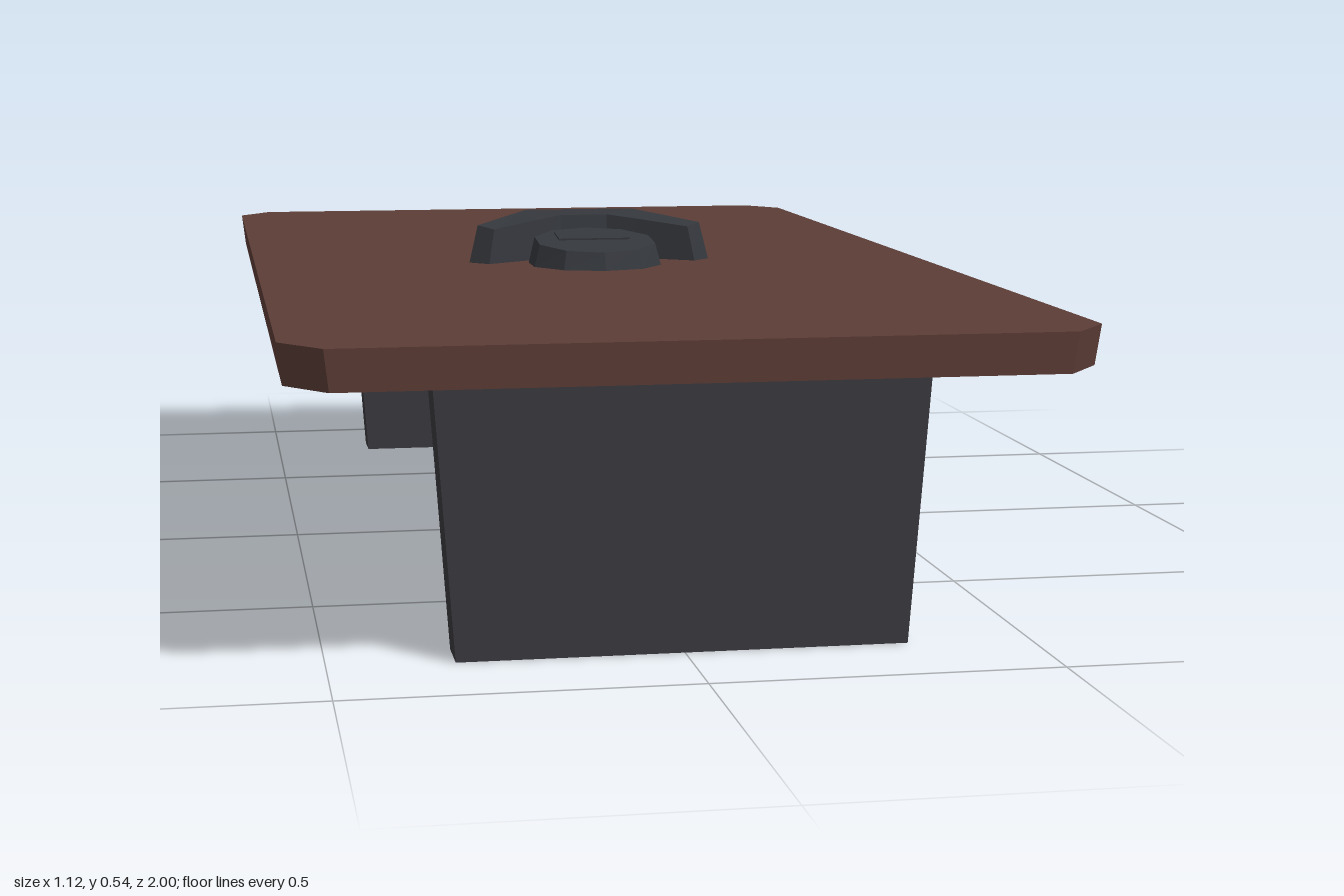
import * as THREE from 'three';

const wood = new THREE.MeshStandardMaterial({ color: 0x5d3d36 });
wood.name = 'darkWood';
const legGrey = new THREE.MeshStandardMaterial({ color: 0x39373d });
legGrey.name = 'legGrey';
const plastic = new THREE.MeshStandardMaterial({ color: 0x34373c });
plastic.name = 'charcoalPlastic';

// Mirrors a right-hand half outline [x, y, z] (back to front) into a closed loop
const mirrored = (half) => [
  ...half.map(([x, y, z]) => [-x, y, z]),
  ...half.slice().reverse(),
];

// Faceted solid between two mirrored outlines; caps lists the polygons closing each end
function solid(name, material, lowHalf, highHalf, caps) {
  const low = mirrored(lowHalf), high = mirrored(highHalf), n = low.length;
  const pos = [];
  const fan = (pts) => {
    for (let i = 1; i < pts.length - 1; i++) pos.push(...pts[0], ...pts[i], ...pts[i + 1]);
  };
  for (let i = 0; i < n; i++) {
    const j = (i + 1) % n;
    fan([low[i], low[j], high[j], high[i]]);
  }
  for (const cap of caps || [low.map((_, i) => i)]) {
    fan(cap.map((i) => high[i]));
    fan(cap.slice().reverse().map((i) => low[i]));
  }
  const geo = new THREE.BufferGeometry();
  geo.setAttribute('position', new THREE.Float32BufferAttribute(pos, 3));
  geo.computeVertexNormals();
  const mesh = new THREE.Mesh(geo, material);
  mesh.name = name;
  return mesh;
}

export function createModel() {
  const group = new THREE.Group();
  group.name = 'conferenceTable';

  // Table top with clipped corners, slightly narrower underneath
  const slab = (w, l, y) => [
    [w - 0.057, y, -l], [w, y, -l + 0.07], [w, y, l - 0.07], [w - 0.057, y, l],
  ];
  group.add(solid('tableTop', wood, slab(0.555, 0.995, 0.405), slab(0.562, 1, 0.463)));

  // Panel legs, widening upward
  for (const [name, z] of [['frontLeg', 0.807], ['backLeg', -0.807]]) {
    const panel = (w, y) => [[w, y, z - 0.036], [w, y, z + 0.036]];
    group.add(solid(name, legGrey, panel(0.322, 0), panel(0.352, 0.406)));
  }

  // Three-armed speakerphone body: tapered back arm and two short side arms
  const phone = new THREE.Group();
  phone.name = 'speakerphone';
  const base = [
    [0.045, -0.255], [0.105, -0.095], [0.205, 0.025],
    [0.175, 0.055], [0.09, 0], [0.04, -0.03],
  ].map(([x, z]) => [x, 0.463, z]);
  const crown = [
    [0.037, 0.485, -0.243], [0.093, 0.54, -0.095], [0.19, 0.525, 0.018],
    [0.165, 0.52, 0.043], [0.085, 0.53, -0.01], [0.04, 0.535, -0.04],
  ];
  phone.add(solid('phoneBody', plastic, base, crown, [
    [0, 1, 10, 11], [1, 5, 6, 10],
    [1, 2, 3, 4], [1, 4, 5], [10, 6, 7], [10, 7, 8, 9],
  ]));

  // Ten-sided dial base with its top sloping down to the front
  const tilt = 0.11;
  let dialGeo = new THREE.CylinderGeometry(0.102, 0.112, 0.04, 10);
  const p = dialGeo.attributes.position;
  for (let i = 0; i < p.count; i++) {
    if (p.getY(i) > 0) p.setY(i, p.getY(i) - p.getZ(i) * tilt);
  }
  dialGeo = dialGeo.toNonIndexed();
  dialGeo.computeVertexNormals();
  const dial = new THREE.Mesh(dialGeo, plastic);
  dial.name = 'phoneDial';
  dial.position.set(0, 0.483, 0.075);
  phone.add(dial);

  // Thin control plate on the dial
  const plate = new THREE.Mesh(new THREE.BoxGeometry(0.12, 0.005, 0.06), plastic);
  plate.name = 'controlPlate';
  plate.position.set(0, 0.5065, 0.045);
  plate.rotation.x = Math.atan(tilt);
  phone.add(plate);

  group.add(phone);
  return group;
}
